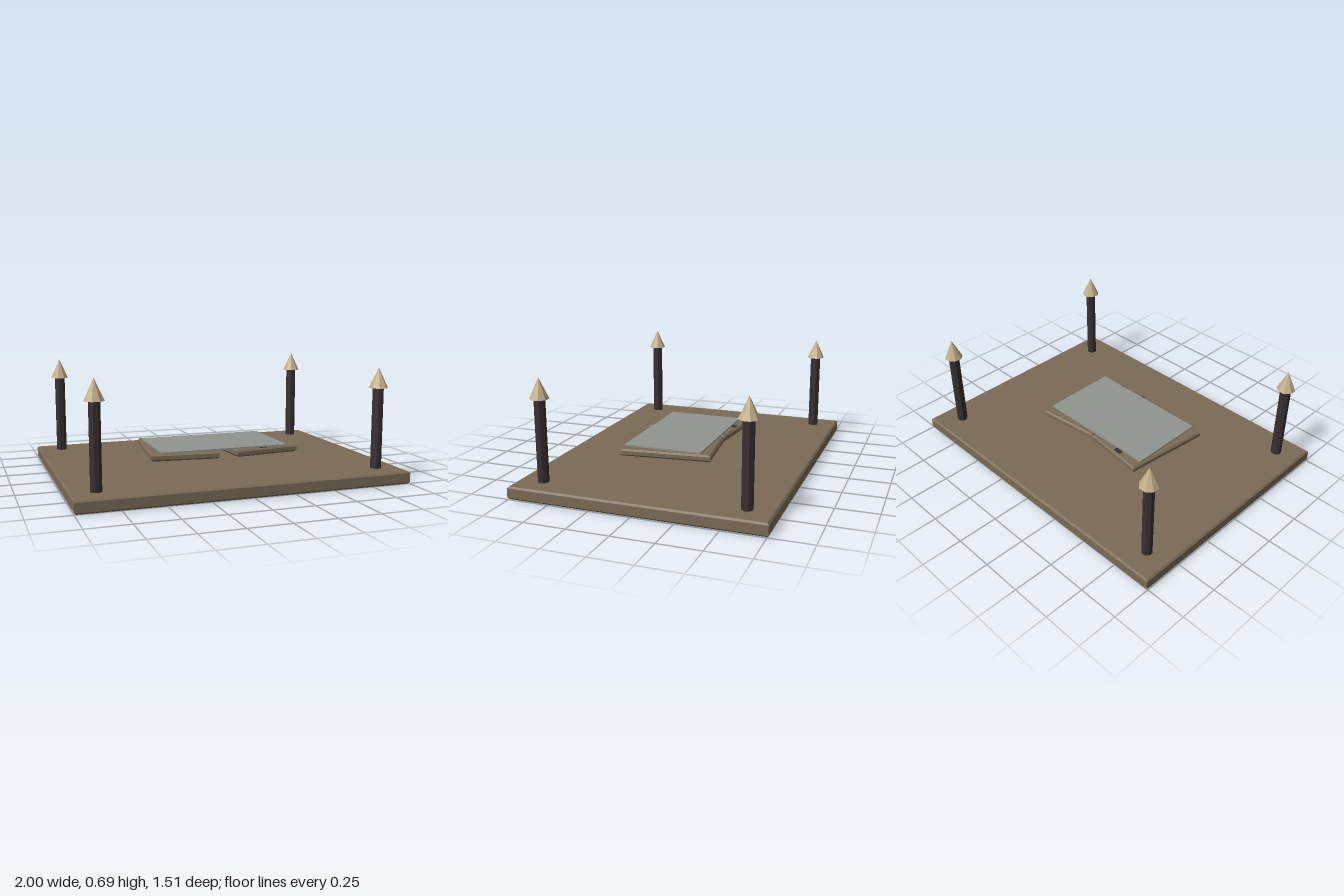
import * as THREE from 'three';

// Box with chamfered edges: w along x, h along y, d along z, centred
function chamferBox(w, h, d, c) {
  const x = w / 2 - c, z = d / 2 - c;
  const s = new THREE.Shape([[-x, -z], [x, -z], [x, z], [-x, z]].map(p => new THREE.Vector2(...p)));
  const g = new THREE.ExtrudeGeometry(s, {
    depth: h - 2 * c, bevelEnabled: true, bevelSize: c, bevelThickness: c, bevelSegments: 1
  });
  g.translate(0, 0, c - h / 2);
  g.rotateX(-Math.PI / 2);
  return g;
}

// Faceted copy with one normal per face
function flat(g) {
  const f = g.toNonIndexed();
  f.computeVertexNormals();
  return f;
}

export function createModel() {
  const group = new THREE.Group();
  const mat = (name, color) => {
    const m = new THREE.MeshStandardMaterial({ color });
    m.name = name;
    return m;
  };
  const wood = mat('brown wood', 0x7a6b55);
  const dark = mat('dark wood', 0x392f31);
  const bone = mat('pale bone', 0xc4b18b);
  const slate = mat('grey sheet', 0x90968f);

  const add = (parent, name, geometry, material, x, y, z) => {
    const m = new THREE.Mesh(geometry, material);
    m.name = name;
    m.position.set(x, y, z);
    parent.add(m);
    return m;
  };

  // Base slab
  add(group, 'base', chamferBox(2, 0.076, 1.515, 0.01), wood, 0, 0.038, 0);

  // Corner posts with pointed caps
  const postGeo = flat(new THREE.CylinderGeometry(0.033, 0.033, 0.5, 8).rotateY(Math.PI / 8));
  const capGeo = flat(new THREE.ConeGeometry(0.057, 0.122, 8).rotateY(Math.PI / 8));
  for (const x of [-0.855, 0.855]) {
    for (const z of [-0.605, 0.605]) {
      add(group, 'post', postGeo, dark, x, 0.318, z);
      add(group, 'postCap', capGeo, bone, x, 0.626, z);
    }
  }

  // Two splayed leaves floating above the base, each with a dark strip
  const leafGeo = chamferBox(0.412, 0.042, 0.556, 0.01);
  const stripGeo = new THREE.BoxGeometry(0.05, 0.006, 0.5);
  for (const side of [-1, 1]) {
    const leaf = new THREE.Group();
    leaf.name = side < 0 ? 'rightLeaf' : 'leftLeaf';
    leaf.position.set(side * 0.235, 0.166, 0.047);
    leaf.rotation.y = side * 0.109;
    add(leaf, 'leafPanel', leafGeo, wood, 0, 0, 0);
    add(leaf, 'leafStrip', stripGeo, dark, -0.022, 0.0195, side < 0 ? -0.01 : 0.018);
    group.add(leaf);
  }

  // Flat sheet lying across both leaves
  add(group, 'sheet', new THREE.BoxGeometry(0.805, 0.009, 0.49), slate, -0.002, 0.1925, 0.06);

  return group;
}
